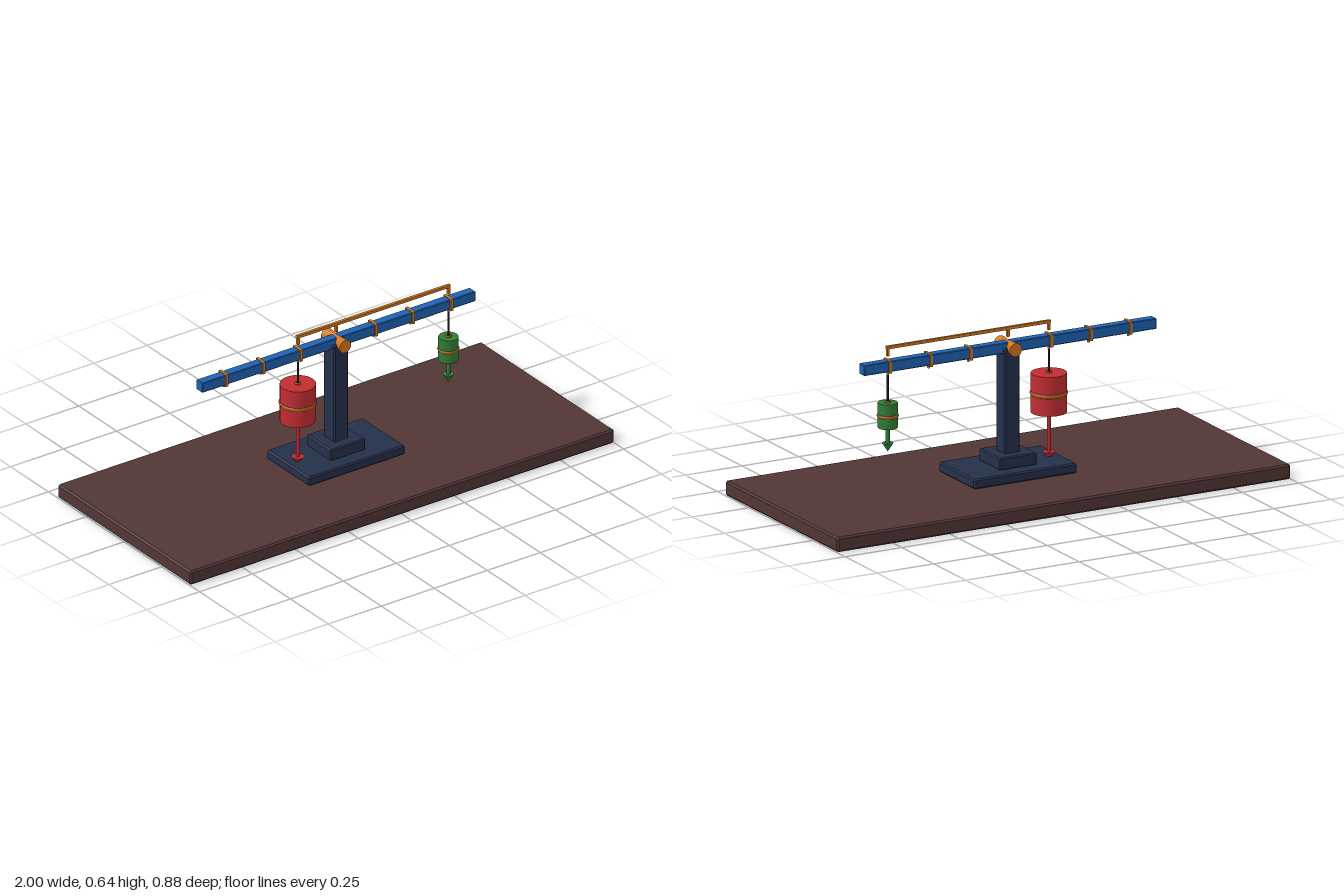
import * as THREE from 'three';
import { ConvexGeometry } from 'three/addons/geometries/ConvexGeometry.js';

const paint = (name, color) => {
  const m = new THREE.MeshStandardMaterial({ color });
  m.name = name;
  return m;
};

// Box with chamfered edges, given by half width, bottom, top, half depth
function chamferBox(hx, y0, y1, hz, c) {
  const hy = (y1 - y0) / 2, mid = (y0 + y1) / 2, points = [];
  for (const sx of [-1, 1]) for (const sy of [-1, 1]) for (const sz of [-1, 1]) {
    points.push(
      new THREE.Vector3(sx * hx, mid + sy * (hy - c), sz * (hz - c)),
      new THREE.Vector3(sx * (hx - c), mid + sy * hy, sz * (hz - c)),
      new THREE.Vector3(sx * (hx - c), mid + sy * (hy - c), sz * hz));
  }
  return new ConvexGeometry(points);
}

// Upright cylinder or cone between two heights
function rod(rTop, rBottom, y0, y1, sides = 24) {
  return new THREE.CylinderGeometry(rTop, rBottom, y1 - y0, sides).translate(0, (y0 + y1) / 2, 0);
}

export function createModel() {
  const model = new THREE.Group();
  model.name = 'leverBalance';
  const brown = paint('table brown', 0x523636);
  const navy = paint('stand navy', 0x24304a);
  const blue = paint('beam blue', 0x1f62b4);
  const orange = paint('fitting orange', 0xd4771f);
  const bronze = paint('band bronze', 0xa55a18);
  const red = paint('weight red', 0xc22c32);
  const green = paint('weight green', 0x2f7d35);
  const black = paint('string black', 0x1c1c20);

  const add = (name, geometry, material, parent = model) => {
    const mesh = new THREE.Mesh(geometry, material);
    mesh.name = name;
    parent.add(mesh);
    return mesh;
  };

  // Table and stand
  add('tabletop', chamferBox(1, 0, 0.06, 0.44, 0.007), brown);
  add('foot', chamferBox(0.227, 0.06, 0.1, 0.14, 0.006), navy);
  add('plinth', chamferBox(0.082, 0.098, 0.148, 0.081, 0.005), navy);
  add('post', chamferBox(0.034, 0.14, 0.565, 0.036, 0.005), navy);

  // Beam
  add('beam', chamferBox(0.645, 0.545, 0.588, 0.02, 0.003), blue);

  // Pivot, narrowing in plan toward the beam
  const pivot = new THREE.CylinderGeometry(0.027, 0.027, 0.124, 32, 8).rotateX(Math.PI / 2);
  const p = pivot.attributes.position;
  for (let i = 0; i < p.count; i++) {
    p.setX(i, p.getX(i) * (0.42 + 0.58 * Math.abs(p.getZ(i)) / 0.062));
  }
  pivot.computeVertexNormals();
  add('pivot', pivot.translate(0, 0.566, 0), orange);

  // Square clips round the beam, each with a hanging hook
  const clipShape = new THREE.Shape([[-1, -1], [1, -1], [1, 1], [-1, 1]]
    .map(([x, y]) => new THREE.Vector2(x * 0.0245, y * 0.0255)));
  clipShape.holes.push(new THREE.Path([[-1, -1], [-1, 1], [1, 1], [1, -1]]
    .map(([x, y]) => new THREE.Vector2(x * 0.019, y * 0.02))));
  for (const x of [-0.53, -0.355, -0.18, 0.175, 0.35, 0.53]) {
    const clip = new THREE.Group();
    clip.name = 'beamClip';
    clip.position.set(x, 0.566, 0);
    const frame = new THREE.ExtrudeGeometry(clipShape, { depth: 0.012, bevelEnabled: false });
    add('clipFrame', frame.translate(0, 0, -0.006).rotateY(Math.PI / 2), orange, clip);
    add('clipHook', rod(0.006, 0.005, -0.036, -0.025, 12), orange, clip);
    model.add(clip);
  }

  // Span marker floating above the beam
  const marker = new THREE.Group();
  marker.name = 'spanMarker';
  add('markerBar', new THREE.BoxGeometry(0.722, 0.012, 0.012).translate(0.175, 0.639, 0), orange, marker);
  for (const x of [-0.18, 0, 0.53]) {
    add('markerLeg', new THREE.BoxGeometry(0.01, 0.034, 0.012).translate(x, 0.622, 0), orange, marker);
  }
  model.add(marker);

  // Hanging weights with a band, ring, string and downward arrow
  const weights = [
    { name: 'largeWeight', x: -0.18, r: 0.07, y0: 0.277, y1: 0.434, band: 0.355, tube: 0.011, neck: 0.118, tip: 0.085, stem: 0.008, head: 0.025, material: red },
    { name: 'smallWeight', x: 0.53, r: 0.039, y0: 0.319, y1: 0.419, band: 0.367, tube: 0.007, neck: 0.257, tip: 0.222, stem: 0.008, head: 0.022, material: green },
  ];
  for (const w of weights) {
    const group = new THREE.Group();
    group.name = w.name;
    group.position.x = w.x;
    add('body', rod(w.r, w.r, w.y0, w.y1, 32), w.material, group);
    const band = new THREE.TorusGeometry(w.r - w.tube + 0.004, w.tube, 10, 40).rotateX(Math.PI / 2);
    add('band', band.translate(0, w.band, 0), bronze, group);
    const ring = new THREE.TorusGeometry(0.009, 0.004, 8, 20).rotateX(Math.PI / 2);
    add('topRing', ring.translate(0, w.y1 + 0.003, 0), bronze, group);
    add('string', rod(0.004, 0.004, w.y1, 0.54, 10), black, group);
    add('arrowStem', rod(w.stem, w.stem, w.neck, w.y0, 16), w.material, group);
    add('arrowHead', rod(w.head, 0, w.tip, w.neck, 24), w.material, group);
    model.add(group);
  }
  return model;
}
